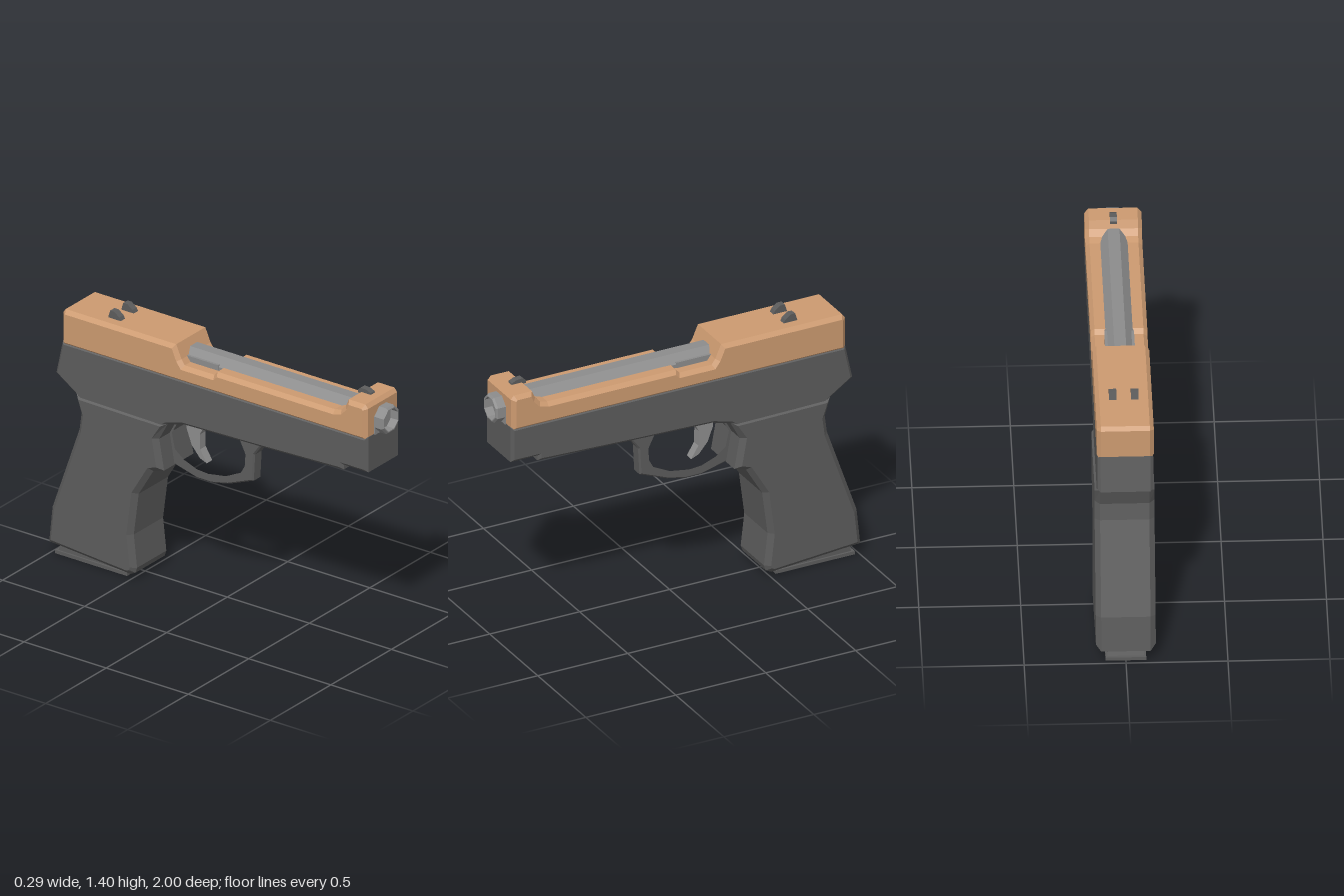
import * as THREE from 'three';

const paint = (color) => new THREE.MeshStandardMaterial({ color, flatShading: true });
const DARK = paint(0x5c5c5c);
const TAN = paint(0xcc9a70);
const STEEL = paint(0x8c8c8c);

const toPoints = (list) => list.map(([z, y]) => new THREE.Vector2(z, y));

// Side profile of [z, y] points, extruded across x with chamfered edges
function slab(name, profile, width, chamfer, material, x = 0, hole = null) {
  const shape = new THREE.Shape(toPoints(profile));
  if (hole) shape.holes.push(new THREE.Path(toPoints(hole)));
  const depth = width - 2 * chamfer;
  const geometry = new THREE.ExtrudeGeometry(shape, {
    depth,
    bevelEnabled: chamfer > 0,
    bevelSize: chamfer,
    bevelThickness: chamfer,
    bevelOffset: -chamfer,
    bevelSegments: 1,
  });
  geometry.translate(0, 0, -depth / 2).rotateY(-Math.PI / 2);
  const mesh = new THREE.Mesh(geometry, material);
  mesh.name = name;
  mesh.position.x = x;
  return mesh;
}

function block(name, w, h, d, x, y, z, material) {
  const mesh = new THREE.Mesh(new THREE.BoxGeometry(w, h, d), material);
  mesh.name = name;
  mesh.position.set(x, y, z);
  return mesh;
}

export function createModel() {
  const model = new THREE.Group();
  model.name = 'pistol';

  // Frame: long upper body with a stepped front underside and a rear tang
  model.add(slab('frame', [
    [0.95, 1.185], [0.95, 0.995], [0.8, 0.995], [0.8, 0.968], [0.3, 0.95],
    [-0.17, 0.937], [-0.27, 0.91], [-0.35, 0.85], [-0.74, 0.85], [-0.83, 0.92],
    [-0.95, 1.0], [-0.91, 1.185],
  ], 0.274, 0.015, DARK));

  // Grip: slightly wider, with deep chamfers
  model.add(slab('grip', [
    [-0.27, 0.915], [-0.325, 0.815], [-0.295, 0.65], [-0.36, 0.63], [-0.45, 0.48],
    [-0.48, 0.25], [-0.46, 0.075], [-0.47, 0.045], [-0.5, 0.03], [-0.995, 0.068],
    [-0.975, 0.26], [-0.81, 0.73], [-0.798, 0.82], [-0.83, 0.925],
  ], 0.294, 0.026, DARK));

  // Magazine foot under the grip
  model.add(slab('magazineNeck', [
    [-0.56, 0.01], [-0.56, 0.08], [-0.94, 0.08], [-0.965, 0.01],
  ], 0.18, 0, DARK));
  model.add(block('magazineBase', 0.2, 0.018, 0.44, 0, 0.009, -0.757, DARK));

  // Trigger guard loop
  model.add(slab('triggerGuard', [
    [0.32, 0.96], [0.24, 0.91], [0.19, 0.84], [0.182, 0.695], [0.03, 0.635],
    [-0.07, 0.613], [-0.16, 0.613], [-0.3, 0.65], [-0.38, 0.68], [-0.38, 0.9], [-0.2, 0.96],
  ], 0.07, 0.008, DARK, 0, [
    [0.03, 0.94], [0.1, 0.92], [0.145, 0.83], [0.14, 0.76], [0.115, 0.715],
    [0.02, 0.668], [-0.09, 0.65], [-0.16, 0.655], [-0.24, 0.685], [-0.3, 0.73],
    [-0.32, 0.82], [-0.27, 0.91], [-0.18, 0.94],
  ]));

  // Curved trigger
  model.add(slab('trigger', [
    [-0.07, 0.95], [-0.12, 0.91], [-0.15, 0.85], [-0.148, 0.77], [-0.108, 0.705],
    [-0.15, 0.722], [-0.2, 0.78], [-0.23, 0.86], [-0.23, 0.95],
  ], 0.046, 0, STEEL));

  // Slide with a lowered open top and a notch in front of the rear block
  model.add(slab('slide', [
    [0.947, 1.165], [0.947, 1.338], [0.93, 1.358], [0.83, 1.358], [0.812, 1.318],
    [0.785, 1.29], [0.745, 1.28], [0.03, 1.28], [0.01, 1.258], [-0.17, 1.258],
    [-0.19, 1.285], [-0.222, 1.358], [-0.895, 1.358], [-0.91, 1.338], [-0.91, 1.165],
  ], 0.28, 0.02, TAN));

  // Eight-sided barrel with a recessed muzzle
  const r = 0.07 / Math.cos(Math.PI / 8);
  const barrelGeometry = new THREE.LatheGeometry(toPoints([
    [0, -0.21], [r, -0.21], [r, 0.99], [r - 0.01, 1.0], [0.06, 1.0], [0.06, 0.955], [0, 0.955],
  ]), 8, Math.PI / 8);
  barrelGeometry.rotateX(Math.PI / 2);
  const barrel = new THREE.Mesh(barrelGeometry, STEEL);
  barrel.name = 'barrel';
  barrel.position.y = 1.248;
  model.add(barrel);
  model.add(block('barrelHood', 0.146, 0.085, 0.22, 0, 1.245, -0.11, STEEL));
  model.add(block('muzzleSupport', 0.14, 0.06, 0.05, 0, 1.208, 0.926, STEEL));

  // Front sight and the pair of rear sights
  model.add(slab('frontSight', [
    [0.89, 1.35], [0.885, 1.366], [0.86, 1.378], [0.825, 1.38], [0.808, 1.365], [0.808, 1.35],
  ], 0.034, 0, DARK));
  for (const side of [-1, 1]) {
    model.add(slab(side > 0 ? 'rearSightLeft' : 'rearSightRight', [
      [-0.592, 1.35], [-0.605, 1.375], [-0.635, 1.398], [-0.66, 1.398], [-0.675, 1.35],
    ], 0.036, 0, DARK, side * 0.054));
  }

  return model;
}
